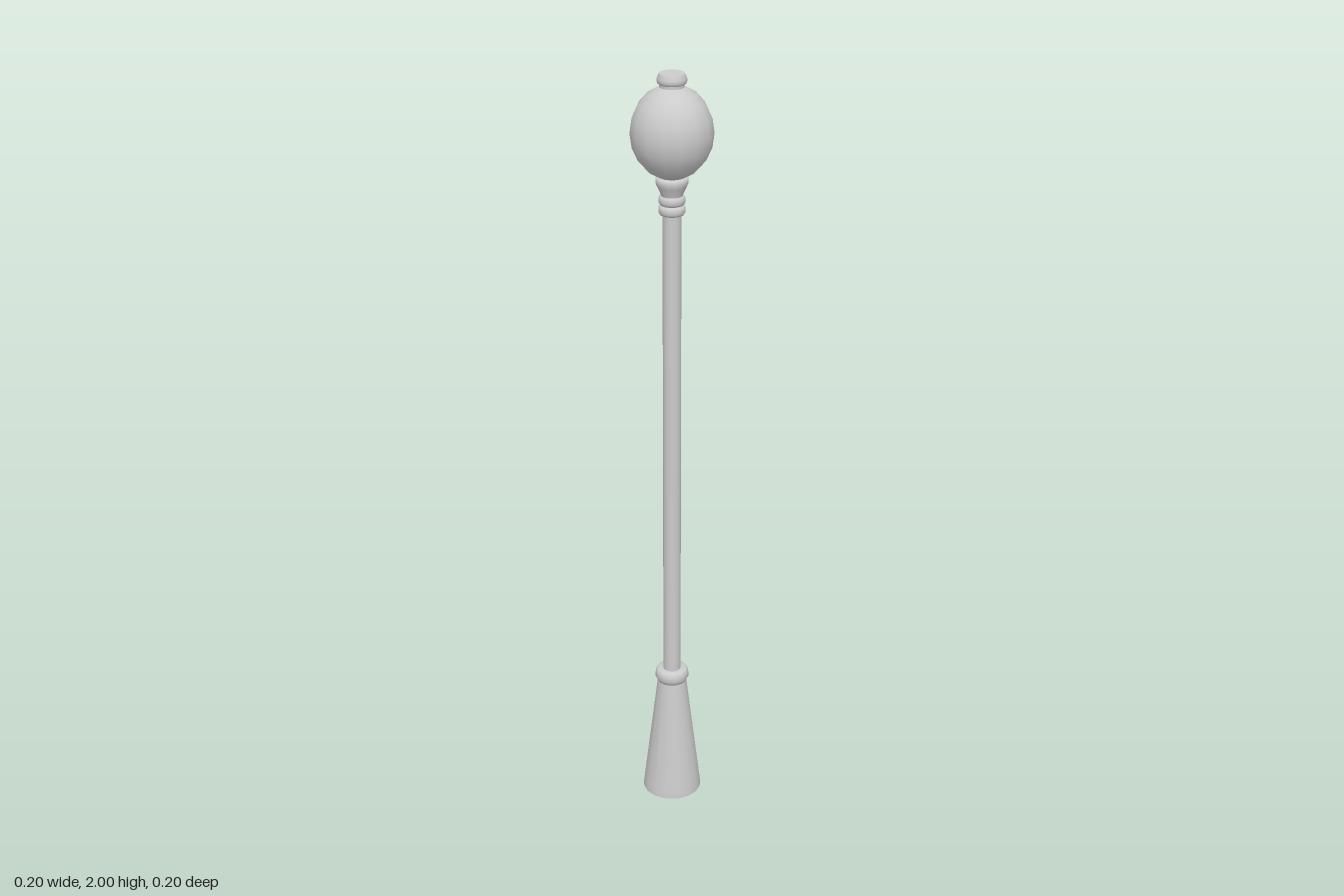
import * as THREE from 'three';

const material = new THREE.MeshStandardMaterial({ color: 0xcccccc, side: THREE.DoubleSide });

// Turned part from [radius, height] pairs, bottom to top
function turned(name, profile, sides = 15) {
  const points = profile.map(([r, y]) => new THREE.Vector2(r, y));
  const mesh = new THREE.Mesh(new THREE.LatheGeometry(points, sides, Math.PI / 2), material);
  mesh.name = name;
  return mesh;
}

// Rounded collar between two heights
function collar(name, inner, outer, y0, y1) {
  const b = (y1 - y0) * 0.3;
  return turned(name, [
    [inner, y0], [outer - b * 0.5, y0], [outer, y0 + b],
    [outer, y1 - b], [outer - b * 0.5, y1], [inner, y1],
  ]);
}

export function createModel() {
  const lamp = new THREE.Group();
  lamp.name = 'streetLamp';

  // Hollow tapered foot and its collar
  lamp.add(turned('base', [[0.078, 0], [0.077, 0.02], [0.038, 0.345]]));
  lamp.add(collar('baseCollar', 0.021, 0.044, 0.34, 0.375));

  // Long straight pole
  lamp.add(turned('pole', [[0.023, 0.36], [0.023, 1.7]]));

  // Two rings below the lamp holder
  [1.655, 1.68].forEach((y, i) => lamp.add(collar('neckRing' + (i + 1), 0.02, 0.033, y, y + 0.022)));

  // Flared holder cup
  lamp.add(turned('lampHolder', [
    [0.026, 1.7], [0.029, 1.71], [0.036, 1.725], [0.04, 1.735], [0.04, 1.748], [0.02, 1.752],
  ]));

  // Slightly tall globe
  const globe = [];
  for (let i = 0; i <= 10; i++) {
    const a = (i / 10) * Math.PI;
    globe.push([0.101 * Math.sin(a), 1.858 - 0.115 * Math.cos(a)]);
  }
  lamp.add(turned('globe', globe));

  // Cap on top: short neck, rounded rim, flat lid
  lamp.add(turned('capNeck', [[0.03, 1.955], [0.03, 1.98]]));
  lamp.add(turned('capRim', [
    [0.029, 1.974], [0.034, 1.976], [0.036, 1.982], [0.036, 1.989], [0.031, 2.0],
  ]));
  lamp.add(turned('capLid', [[0.031, 2.0], [0, 2.0]]));

  return lamp;
}
